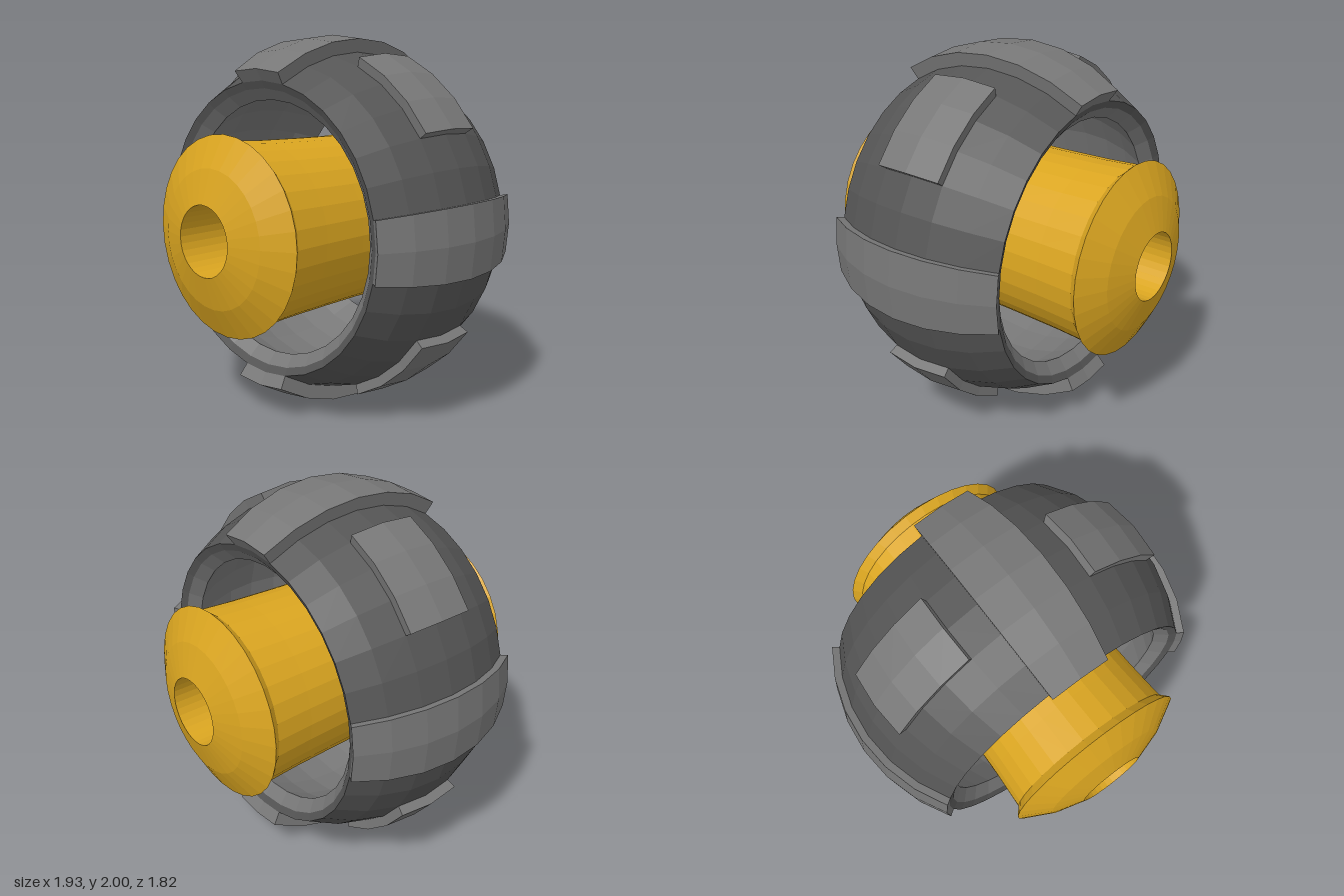
import * as THREE from 'three';

const STEP = Math.PI / 16; // every facet spans 11.25 degrees

const paint = (color) => new THREE.MeshStandardMaterial({ color, flatShading: true });

// Point of a profile on a sphere of radius r, lat counted in facet steps
const onSphere = (r, lat) => [r * Math.cos(lat * STEP), r * Math.sin(lat * STEP)];

// Lathe round the z axis; profile is [radius, z] pairs
function turned(name, profile, material) {
  const points = profile.map(([r, z]) => new THREE.Vector2(r, z));
  const mesh = new THREE.Mesh(new THREE.LatheGeometry(points, 32).rotateX(Math.PI / 2), material);
  mesh.name = name;
  return mesh;
}

// Curved block on the sphere: angle and latitude ranges in facet steps
function pad(name, from, to, lat, inner, outer, material) {
  const geo = new THREE.BoxGeometry(1, 1, 1, to - from, 2 * lat, 1);
  const p = geo.attributes.position;
  for (let i = 0; i < p.count; i++) {
    const a = (from + (p.getX(i) + 0.5) * (to - from)) * STEP;
    const b = p.getY(i) * 2 * lat * STEP;
    const r = p.getZ(i) > 0 ? outer : inner;
    p.setXYZ(i, r * Math.cos(b) * Math.cos(a), r * Math.cos(b) * Math.sin(a), r * Math.sin(b));
  }
  geo.computeVertexNormals();
  const mesh = new THREE.Mesh(geo, material);
  mesh.name = name;
  return mesh;
}

export function createModel() {
  const model = new THREE.Group();
  model.name = 'ringAndHub';
  const dark = paint(0x555555), grey = paint(0x777777), gold = paint(0xdaa520);
  const body = new THREE.Group();
  body.name = 'body';
  body.position.y = 1;
  model.add(body);

  // Outer ring: a spherical band with narrow sloping rims
  const band = [-3, -2, -1, 0, 1, 2, 3].map((lat) => onSphere(0.925, lat));
  body.add(turned('ringShell', [[0.73, -0.495], ...band, [0.73, 0.495]], dark));

  // Lining inside the ring
  const lining = [2, 1, 0, -1, -2].map((lat) => onSphere(0.8, lat));
  body.add(turned('ringLining',
    [[0.73, 0.495], [0.67, 0.44], ...lining, [0.67, -0.44], [0.73, -0.495]], grey));

  // Full-width pads at the four quarters, taller at top and bottom
  [0, 8, 16, 24].forEach((mid, i) =>
    body.add(pad('widePad' + i, mid - 1, mid + 1, 3, 0.915, i % 2 ? 0.998 : 0.965, grey)));

  // Short pads between them
  [[3, 6], [10, 13], [19, 22], [26, 29]].forEach(([from, to], i) =>
    body.add(pad('shortPad' + i, from, to, 1, 0.915, 0.978, grey)));

  // Hub: waisted tube with flared domed ends and a bore
  const half = [[0.455, 0], [0.46, 0.25], [0.468, 0.52], [0.48, 0.73],
    ...[5, 6, 7].map((lat) => onSphere(0.93, lat))];
  const lower = half.slice(1).reverse().map(([r, z]) => [r, -z]);
  body.add(turned('hub', [...lower, ...half, lower[0]], gold));

  return model;
}
